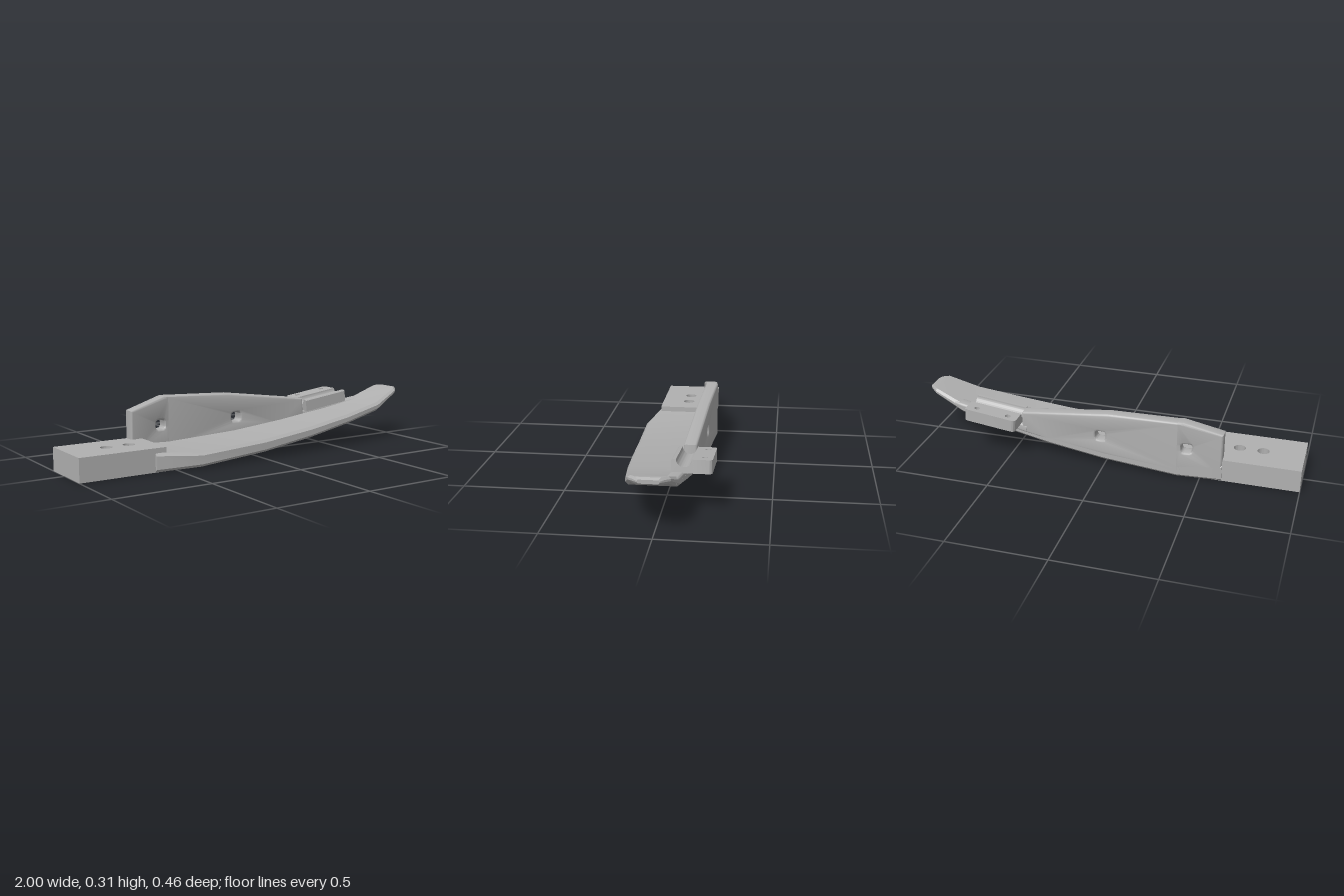
import * as THREE from 'three';
import { toCreasedNormals } from 'three/addons/utils/BufferGeometryUtils.js';

const grey = new THREE.MeshStandardMaterial({ color: 0xb0b0b0 });
grey.name = 'plain grey';

function part(name, geometry, parent) {
  const mesh = new THREE.Mesh(geometry, grey);
  mesh.name = name;
  parent.add(mesh);
  return mesh;
}

function circleHole(x, y, r) {
  const p = new THREE.Path();
  p.absarc(x, y, r, 0, Math.PI * 2, true);
  return p;
}

function roundedRect(path, x0, y0, x1, y1, r) {
  path.absarc(x1 - r, y0 + r, r, -Math.PI / 2, 0, false);
  path.absarc(x1 - r, y1 - r, r, 0, Math.PI / 2, false);
  path.absarc(x0 + r, y1 - r, r, Math.PI / 2, Math.PI, false);
  path.absarc(x0 + r, y0 + r, r, Math.PI, Math.PI * 1.5, false);
  path.closePath();
  return path;
}

// Curved sole: chamfered cross-sections [x, bottom, top, back z, front z] lofted along x
function soleGeometry() {
  const stations = [
    [-0.61, 0.0, 0.095, -0.14, 0.18],
    [-0.385, 0.009, 0.08, -0.17, 0.228],
    [0, 0.036, 0.1, -0.1545, 0.213],
    [0.3, 0.075, 0.132, -0.1426, 0.198],
    [0.57, 0.12, 0.17, -0.124, 0.176],
    [0.8, 0.166, 0.212, -0.098, 0.147],
    [0.955, 0.24, 0.273, -0.077, 0.11],
    [0.985, 0.246, 0.277, -0.05, 0.082],
    [1.0, 0.252, 0.27, -0.034, 0.064]
  ];
  const pos = [], idx = [], n = 8;
  for (const [x, b, t, zb, zf] of stations) {
    const c = Math.min(0.014, (t - b) * 0.35);
    const ring = [[zf, b + c], [zf - c, b], [zb + c, b], [zb, b + c],
      [zb, t - c], [zb + c, t], [zf - c, t], [zf, t - c]];
    for (const [z, y] of ring) pos.push(x, y, z);
  }
  const last = (stations.length - 1) * n;
  for (let s = 0; s < last; s += n) {
    for (let i = 0; i < n; i++) {
      const j = (i + 1) % n;
      idx.push(s + i, s + j, s + n + j, s + i, s + n + j, s + n + i);
    }
  }
  for (let i = 1; i < n - 1; i++) {
    idx.push(0, i + 1, i, last, last + i, last + i + 1);
  }
  const g = new THREE.BufferGeometry();
  g.setAttribute('position', new THREE.Float32BufferAttribute(pos, 3));
  g.setIndex(idx);
  return toCreasedNormals(g, 0.45);
}

// Wall section: bevelled outline, sheared in z to follow the sole's back edge from a to b
const BEVEL = 0.011;
function wallGeometry(points, holeX, a, b, thickness, snapX) {
  const shape = new THREE.Shape(points.map(p => new THREE.Vector2(...p)));
  if (holeX !== null) {
    shape.holes.push(roundedRect(new THREE.Path(), holeX - 0.027, 0.148, holeX + 0.027, 0.196, 0.015));
  }
  const g = new THREE.ExtrudeGeometry(shape, {
    depth: thickness - 2 * BEVEL, bevelEnabled: true, bevelSize: BEVEL,
    bevelThickness: BEVEL, bevelOffset: -BEVEL, bevelSegments: 3, curveSegments: 6
  });
  const p = g.attributes.position;
  for (let i = 0; i < p.count; i++) {
    let x = p.getX(i);
    // square off the joint shared with the neighbouring section
    if (Math.abs(x - snapX) < BEVEL * 1.2) x = snapX;
    const outer = a[1] + (x - a[0]) / (b[0] - a[0]) * (b[1] - a[1]);
    p.setX(i, x);
    p.setZ(i, p.getZ(i) + BEVEL + outer);
  }
  return toCreasedNormals(g, 0.6);
}

export function createModel() {
  const model = new THREE.Group();
  model.name = 'curvedRunner';

  // Mounting tang with two bolt holes
  const tang = new THREE.Shape();
  tang.moveTo(-1, -0.17);
  tang.lineTo(-0.55, -0.17);
  tang.lineTo(-0.55, 0.13);
  tang.lineTo(-1, 0.13);
  tang.closePath();
  for (const x of [-0.793, -0.673]) tang.holes.push(circleHole(x, -0.02, 0.03));
  const tangGeo = new THREE.ExtrudeGeometry(tang, { depth: 0.118, bevelEnabled: false, curveSegments: 24 });
  tangGeo.rotateX(-Math.PI / 2);
  part('mountingTang', toCreasedNormals(tangGeo, 0.6), model);

  part('sole', soleGeometry(), model);

  // Upright wall in two holed sections, then a low ridge toward the tip
  const heel = [-0.61, -0.14], bend = [-0.385, -0.17], wallEnd = [0.44, -0.137];
  part('rearWall', wallGeometry(
    [[-0.61, 0.03], [-0.385, 0.04], [-0.385, 0.314], [-0.41, 0.315], [-0.61, 0.26]],
    -0.433, heel, bend, 0.065, -0.385), model);
  part('mainWall', wallGeometry(
    [[-0.385, 0.04], [0, 0.064], [0.3, 0.1], [0.45, 0.125], [0.442, 0.237], [-0.03, 0.3], [-0.385, 0.314]],
    0.016, bend, wallEnd, 0.065, -0.385), model);
  part('ridge', wallGeometry(
    [[0.42, 0.12], [0.57, 0.142], [0.85, 0.195], [0.85, 0.222], [0.8, 0.216], [0.42, 0.165]],
    null, wallEnd, [0.8, -0.098], 0.062, 0.42), model);

  // Tilted clamp: rod channel plus a flange with two screw holes
  const clamp = new THREE.Group();
  clamp.name = 'clamp';
  clamp.position.set(0.59, 0.184, 0);
  clamp.rotation.z = 0.125;
  model.add(clamp);

  const H = 0.064, half = 0.138;
  const channel = new THREE.Shape();
  channel.moveTo(0.048, 0);
  channel.lineTo(0.15, 0);
  channel.lineTo(0.15, H);
  channel.lineTo(0.141, H);
  channel.absarc(0.105, H, 0.036, 0, -Math.PI, true);
  channel.lineTo(0.054, H);
  channel.lineTo(0.048, H - 0.006);
  channel.closePath();
  const channelGeo = new THREE.ExtrudeGeometry(channel, { depth: half * 2, bevelEnabled: false, curveSegments: 16 });
  channelGeo.rotateY(Math.PI / 2);
  channelGeo.translate(-half, 0, 0);
  part('rodChannel', toCreasedNormals(channelGeo, 0.6), clamp);

  const flange = new THREE.Shape();
  flange.moveTo(-half, 0.145);
  flange.lineTo(half, 0.145);
  flange.absarc(half - 0.02, 0.213, 0.02, 0, Math.PI / 2, false);
  flange.absarc(-half + 0.02, 0.213, 0.02, Math.PI / 2, Math.PI, false);
  flange.closePath();
  for (const x of [-0.085, 0.085]) flange.holes.push(circleHole(x, 0.195, 0.014));
  const flangeGeo = new THREE.ExtrudeGeometry(flange, { depth: H, bevelEnabled: false, curveSegments: 10 });
  flangeGeo.rotateX(-Math.PI / 2);
  part('screwFlange', toCreasedNormals(flangeGeo, 0.6), clamp);

  return model;
}
